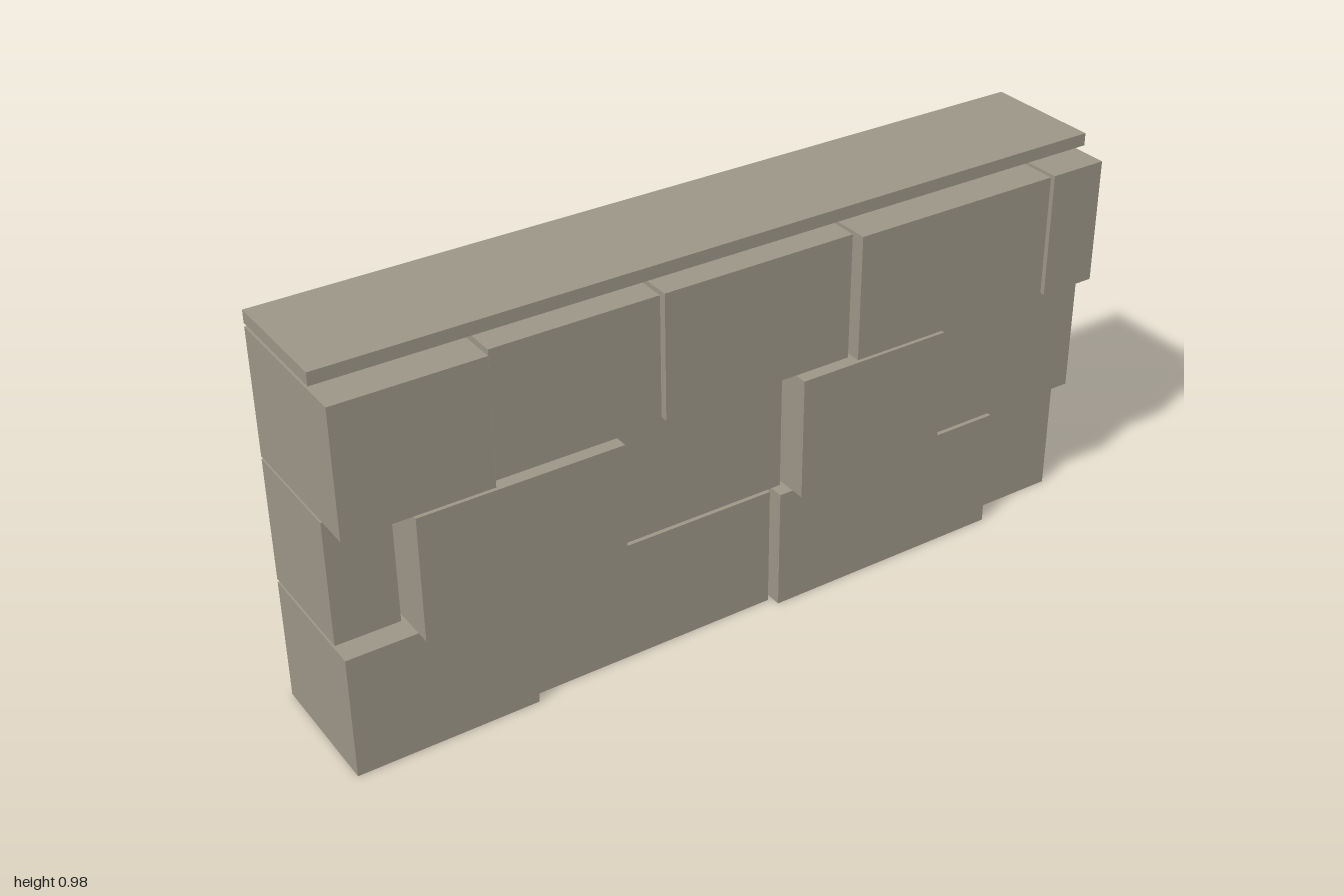
import * as THREE from 'three';

const BACK = -0.19;

// Each course: bottom, top, and blocks as [left x, right x, front z]
const COURSES = [
  { name: 'bottomCourse', y0: 0, y1: 0.31, blocks: [
    [-1, -0.552, 0.145], [-0.542, 0.093, 0.12], [0.105, 0.74, 0.145], [0.752, 0.985, 0.097],
  ] },
  { name: 'middleCourse', y0: 0.319, y1: 0.628, blocks: [
    [-1, -0.846, 0.097], [-0.835, -0.339, 0.19], [-0.328, 0.121, 0.12],
    [0.132, 0.533, 0.19], [0.544, 0.985, 0.145],
  ] },
  { name: 'topCourse', y0: 0.635, y1: 0.945, blocks: [
    [-1, -0.65, 0.19], [-0.638, -0.232, 0.167], [-0.22, 0.27, 0.167],
    [0.281, 0.826, 0.19], [0.838, 0.985, 0.19],
  ] },
];

export function createModel() {
  const stone = new THREE.MeshStandardMaterial({ color: 0x9b9586 });
  stone.name = 'stone';
  const wall = new THREE.Group();
  wall.name = 'stoneWall';

  // Box spanning the given limits, with its back on the wall's rear plane
  const slab = (name, x0, x1, y0, y1, front) => {
    const mesh = new THREE.Mesh(new THREE.BoxGeometry(x1 - x0, y1 - y0, front - BACK), stone);
    mesh.position.set((x0 + x1) / 2, (y0 + y1) / 2, (front + BACK) / 2);
    mesh.name = name;
    return mesh;
  };

  // Staggered courses of blocks with open joints
  for (const { name, y0, y1, blocks } of COURSES) {
    const course = new THREE.Group();
    course.name = name;
    blocks.forEach(([x0, x1, front], i) => course.add(slab(`block${i + 1}`, x0, x1, y0, y1, front)));
    wall.add(course);
  }

  // Thin coping slab along the top
  wall.add(slab('coping', -1, 1, 0.953, 0.984, 0.112));
  return wall;
}
